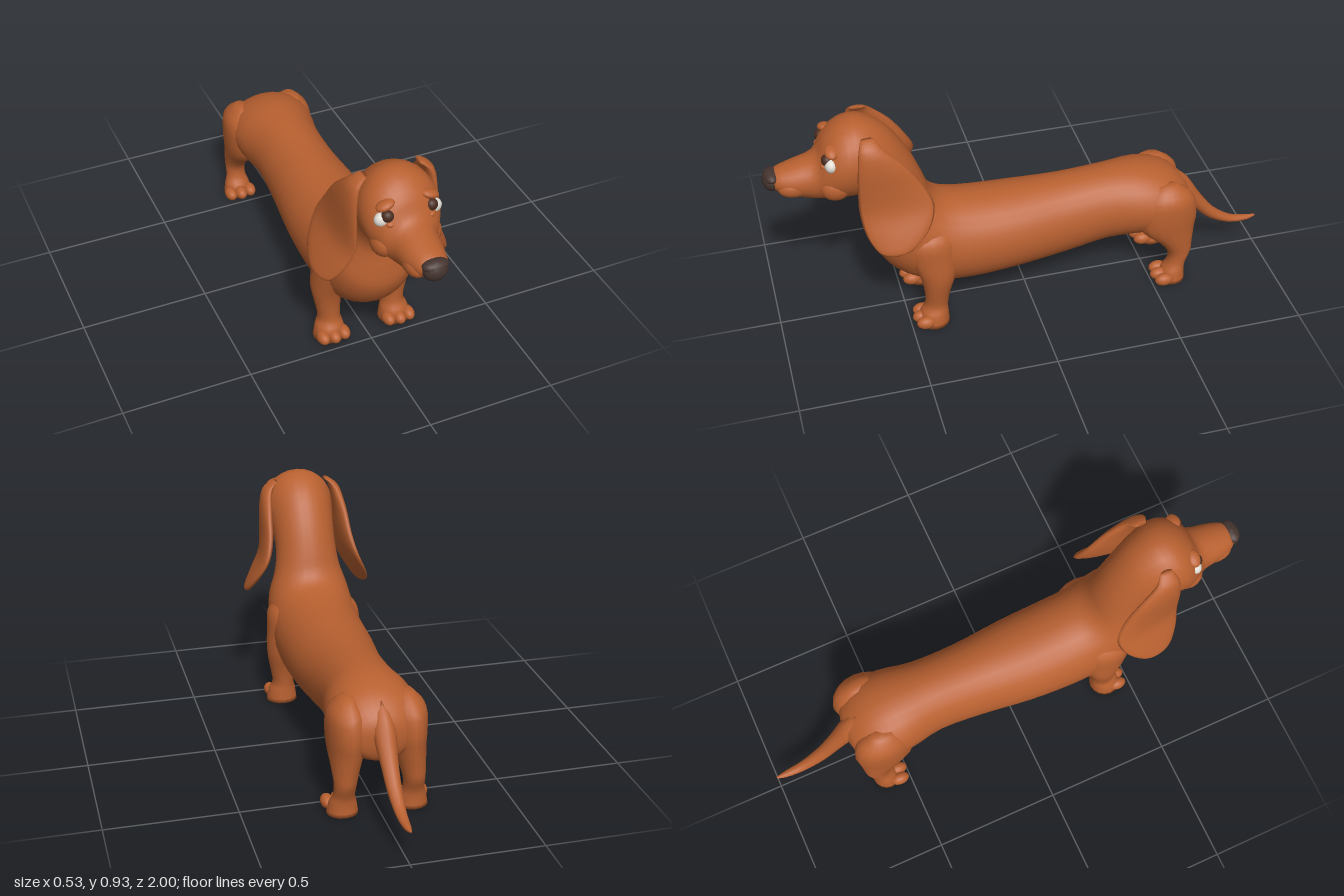
import * as THREE from 'three';

const mat = (name, color) => {
  const m = new THREE.MeshStandardMaterial({ color });
  m.name = name;
  return m;
};

// Loft through elliptical sections [zA, yA, zB, yB, halfWidth, xA, xB]:
// A and B are opposite ends of the ellipse, halfWidth is its radius along x.
function loft(sections, side = 1, radial = 20, sub = 3) {
  const curve = f => new THREE.CatmullRomCurve3(sections.map(f), false, 'catmullrom', 0.5);
  const A = curve(s => new THREE.Vector3(s[5] ?? 0, s[1], s[0]));
  const B = curve(s => new THREE.Vector3(s[6] ?? s[5] ?? 0, s[3], s[2]));
  const W = curve(s => new THREE.Vector3(s[4], 0, 0));
  const rings = (sections.length - 1) * sub;
  const pos = [], idx = [];
  const centre = i => A.getPoint(i / rings).add(B.getPoint(i / rings)).multiplyScalar(0.5);
  for (let i = 0; i <= rings; i++) {
    const c = centre(i), h = A.getPoint(i / rings).sub(c), w = W.getPoint(i / rings).x;
    for (let j = 0; j < radial; j++) {
      const t = (j / radial) * Math.PI * 2, k = Math.cos(t);
      pos.push(side * (c.x + h.x * k + w * Math.sin(t)), c.y + h.y * k, c.z + h.z * k);
      if (i === rings) continue;
      const n = (j + 1) % radial, a = i * radial + j, b = i * radial + n;
      idx.push(a, b, a + radial, b, b + radial, a + radial);
    }
  }
  // End caps
  for (const i of [0, rings]) {
    const c = centre(i), o = pos.length / 3;
    pos.push(side * c.x, c.y, c.z);
    for (let j = 0; j < radial; j++) {
      const a = i * radial + j, b = i * radial + (j + 1) % radial;
      idx.push(...(i ? [a, b, o] : [b, a, o]));
    }
  }
  // Turn the faces outward if the enclosed volume is negative
  const p = i => new THREE.Vector3().fromArray(pos, i * 3);
  let volume = 0;
  for (let i = 0; i < idx.length; i += 3) {
    volume += p(idx[i]).dot(p(idx[i + 1]).cross(p(idx[i + 2])));
  }
  if (volume < 0) idx.reverse();
  const g = new THREE.BufferGeometry();
  g.setAttribute('position', new THREE.Float32BufferAttribute(pos, 3));
  g.setIndex(idx);
  g.computeVertexNormals();
  return g;
}

export function createModel() {
  const dog = new THREE.Group();
  dog.name = 'dog';
  const fur = mat('chestnut fur', 0xb86030);
  const noseMat = mat('nose', 0x45342f);
  const white = mat('eye white', 0xe0dcd4);
  const dark = mat('eye dark', 0x4a2c20);

  const add = (name, geometry, material = fur) => {
    const m = new THREE.Mesh(geometry, material);
    m.name = name;
    dog.add(m);
    return m;
  };
  const blob = (name, x, y, z, rx, ry, rz, material = fur) => {
    const m = add(name, new THREE.SphereGeometry(1, 16, 12), material);
    m.position.set(x, y, z);
    m.scale.set(rx, ry, rz);
    return m;
  };

  // Torso, neck and head in one sweep from rump to muzzle
  add('body', loft([
    [-0.685, 0.36, -0.685, 0.28, 0.03],
    [-0.66, 0.41, -0.66, 0.23, 0.11],
    [-0.59, 0.47, -0.58, 0.21, 0.165],
    [-0.48, 0.502, -0.46, 0.2, 0.17],
    [-0.34, 0.503, -0.32, 0.19, 0.145],
    [-0.15, 0.492, -0.15, 0.158, 0.15],
    [0.05, 0.49, 0.05, 0.137, 0.172],
    [0.2, 0.495, 0.24, 0.125, 0.18],
    [0.29, 0.508, 0.41, 0.145, 0.18],
    [0.345, 0.53, 0.54, 0.225, 0.178],
    [0.38, 0.57, 0.61, 0.335, 0.165],
    [0.405, 0.64, 0.612, 0.43, 0.138],
    [0.45, 0.745, 0.605, 0.52, 0.125],
    [0.525, 0.86, 0.645, 0.597, 0.13],
    [0.62, 0.922, 0.69, 0.605, 0.146],
    [0.7, 0.913, 0.735, 0.607, 0.143],
    [0.762, 0.862, 0.785, 0.607, 0.115],
    [0.8, 0.797, 0.83, 0.612, 0.088],
    [0.88, 0.768, 0.885, 0.632, 0.077],
    [0.945, 0.748, 0.94, 0.657, 0.058],
    [0.972, 0.725, 0.968, 0.675, 0.03],
  ], 1, 28));

  // Tail
  add('tail', loft([
    [-0.62, 0.45, -0.63, 0.3, 0.045],
    [-0.68, 0.4, -0.68, 0.27, 0.042],
    [-0.74, 0.305, -0.72, 0.23, 0.034],
    [-0.81, 0.212, -0.79, 0.165, 0.028],
    [-0.89, 0.153, -0.88, 0.122, 0.021],
    [-0.96, 0.138, -0.96, 0.115, 0.014],
    [-1.0, 0.134, -1.0, 0.126, 0.004],
  ], 1, 12));

  // Nose
  blob('nose', 0, 0.706, 0.965, 0.047, 0.042, 0.035, noseMat);
  blob('noseTip', 0, 0.725, 0.964, 0.05, 0.022, 0.03, noseMat);

  for (const side of [1, -1]) {
    const tag = side > 0 ? 'left' : 'right';

    // Long hanging ear, narrow at the top and flaring out below
    add(tag + 'Ear', loft([
      [0.64, 0.895, 0.59, 0.895, 0.012, 0.11, 0.11],
      [0.655, 0.86, 0.56, 0.86, 0.02, 0.142, 0.142],
      [0.665, 0.78, 0.49, 0.79, 0.023, 0.155, 0.158],
      [0.67, 0.69, 0.43, 0.7, 0.024, 0.155, 0.168],
      [0.67, 0.6, 0.395, 0.615, 0.024, 0.158, 0.192],
      [0.655, 0.52, 0.425, 0.535, 0.023, 0.195, 0.23],
      [0.62, 0.463, 0.49, 0.472, 0.018, 0.23, 0.253],
      [0.585, 0.45, 0.54, 0.45, 0.008, 0.24, 0.25],
    ], side, 16));

    // Front leg from shoulder to paw
    add(tag + 'FrontLeg', loft([
      [0.44, 0.45, 0.36, 0.45, 0.02, 0.125],
      [0.5, 0.4, 0.31, 0.4, 0.06, 0.128],
      [0.49, 0.32, 0.3, 0.32, 0.066, 0.13],
      [0.455, 0.23, 0.315, 0.23, 0.061, 0.14],
      [0.44, 0.15, 0.338, 0.15, 0.05, 0.138],
      [0.44, 0.085, 0.348, 0.085, 0.044, 0.134],
      [0.46, 0.05, 0.348, 0.05, 0.056, 0.137],
      [0.47, 0.0, 0.345, 0.0, 0.064, 0.138],
    ], side, 16));

    // Hind leg: round thigh, hock and paw
    add(tag + 'HindLeg', loft([
      [-0.52, 0.455, -0.6, 0.455, 0.025, 0.11],
      [-0.46, 0.4, -0.665, 0.4, 0.068, 0.113],
      [-0.435, 0.32, -0.685, 0.32, 0.073, 0.114],
      [-0.455, 0.25, -0.678, 0.25, 0.066, 0.117],
      [-0.525, 0.19, -0.67, 0.18, 0.052, 0.125],
      [-0.57, 0.13, -0.665, 0.13, 0.042, 0.13],
      [-0.568, 0.08, -0.645, 0.08, 0.041, 0.132],
      [-0.545, 0.045, -0.64, 0.045, 0.052, 0.133],
      [-0.53, 0.0, -0.643, 0.0, 0.06, 0.133],
    ], side, 16));

    // Toes, three to a paw
    for (const z of [0.455, -0.535]) {
      for (const i of [-1, 0, 1]) {
        blob(tag + 'Toe', side * (0.138 + i * 0.042), 0.026, z - Math.abs(i) * 0.008,
          0.025, 0.026, 0.038);
      }
    }

    // Eye with dark iris, brow and lower lid
    blob(tag + 'EyeWhite', side * 0.098, 0.797, 0.752, 0.03, 0.028, 0.024, white);
    blob(tag + 'Iris', side * 0.083, 0.813, 0.763, 0.024, 0.023, 0.022, dark);
    blob(tag + 'LowerLid', side * 0.076, 0.784, 0.77, 0.02, 0.014, 0.02);
    blob(tag + 'Brow', side * 0.084, 0.848, 0.745, 0.036, 0.016, 0.026).rotation.z = side * -0.35;

    // Cheek and upper lip
    blob(tag + 'Cheek', side * 0.085, 0.69, 0.74, 0.048, 0.055, 0.06);
    blob(tag + 'Lip', side * 0.042, 0.685, 0.885, 0.037, 0.04, 0.065);
  }
  return dog;
}
